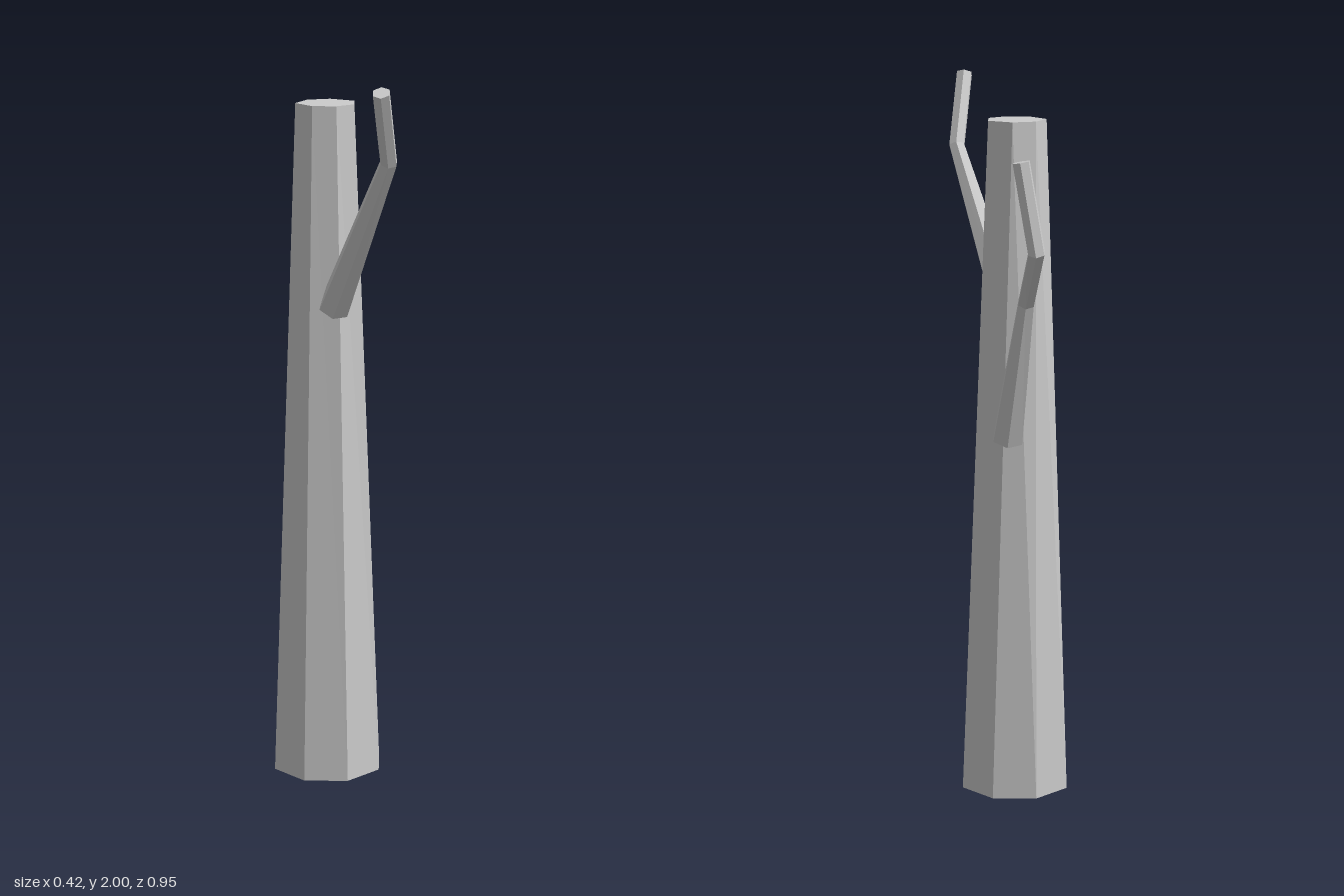
import * as THREE from 'three';

const material = new THREE.MeshStandardMaterial({ color: 0xcccccc, flatShading: true });

// Skin a list of equal-sized rings (counter-clockwise about the travel direction), with end caps.
function loft(rings, name) {
  const n = rings[0].length, pos = [];
  const tri = (a, b, c) => {
    const area = b.clone().sub(a).cross(c.clone().sub(a)).length();
    if (area > 1e-8) for (const p of [a, b, c]) pos.push(p.x, p.y, p.z);
  };
  for (let r = 0; r < rings.length - 1; r++) {
    const lo = rings[r], hi = rings[r + 1];
    for (let i = 0; i < n; i++) {
      const j = (i + 1) % n;
      tri(lo[i], lo[j], hi[i]);
      tri(lo[j], hi[j], hi[i]);
    }
  }
  const first = rings[0], last = rings[rings.length - 1];
  for (let i = 1; i < n - 1; i++) {
    tri(first[0], first[i + 1], first[i]);
    tri(last[0], last[i], last[i + 1]);
  }
  const geo = new THREE.BufferGeometry();
  geo.setAttribute('position', new THREE.Float32BufferAttribute(pos, 3));
  geo.computeVertexNormals();
  const mesh = new THREE.Mesh(geo, material);
  mesh.name = name;
  return mesh;
}

// Faceted tapering branch along [x, y, z, radius] points, bent at mitred joints.
function branch(points, name, sides = 6) {
  const p = points.map(([x, y, z]) => new THREE.Vector3(x, y, z));
  const seg = p.slice(1).map((q, i) => q.clone().sub(p[i]).normalize());
  let u = new THREE.Vector3(1, 0, 0);
  const rings = p.map((c, k) => {
    const a = seg[Math.max(k - 1, 0)], b = seg[Math.min(k, seg.length - 1)];
    const dir = a.clone().add(b).normalize();
    u = u.clone().addScaledVector(dir, -u.dot(dir)).normalize();
    const v = dir.clone().cross(u);
    return Array.from({ length: sides }, (_, i) => {
      const t = (i / sides) * Math.PI * 2, r = points[k][3];
      return c.clone().addScaledVector(u, r * Math.cos(t)).addScaledVector(v, r * Math.sin(t));
    });
  });
  return loft(rings, name);
}

// Eight-sided foot tapering to a seven-sided top; one pair of edges meets in a point.
function trunk() {
  const foot = Array.from({ length: 8 }, (_, i) => {
    const t = THREE.MathUtils.degToRad(-9 + i * 45);
    return new THREE.Vector3(-0.051 + 0.161 * Math.cos(t), 0, -0.014 - 0.161 * Math.sin(t));
  });
  const crown = [
    [0.035, -0.01], [0, -0.08], [-0.065, -0.095], [-0.127, -0.05],
    [-0.127, -0.05], [-0.12, 0.03], [-0.065, 0.065], [-0.005, 0.055],
  ].map(([x, z]) => new THREE.Vector3(x, 1.905, z));
  return loft([foot, crown], 'trunk');
}

export function createModel() {
  const group = new THREE.Group();
  group.name = 'bareTree';
  group.add(
    trunk(),
    branch([
      [-0.075, 1.355, 0.068, 0.045],
      [-0.086, 1.795, 0.37, 0.024],
      [-0.162, 1.99, 0.457, 0.024],
    ], 'frontBranch'),
    branch([
      [0.018, 1.035, -0.088, 0.046],
      [0.064, 1.445, -0.258, 0.024],
      [0.152, 1.612, -0.452, 0.024],
      [0.184, 1.845, -0.428, 0.024],
    ], 'backBranch'),
  );
  return group;
}
